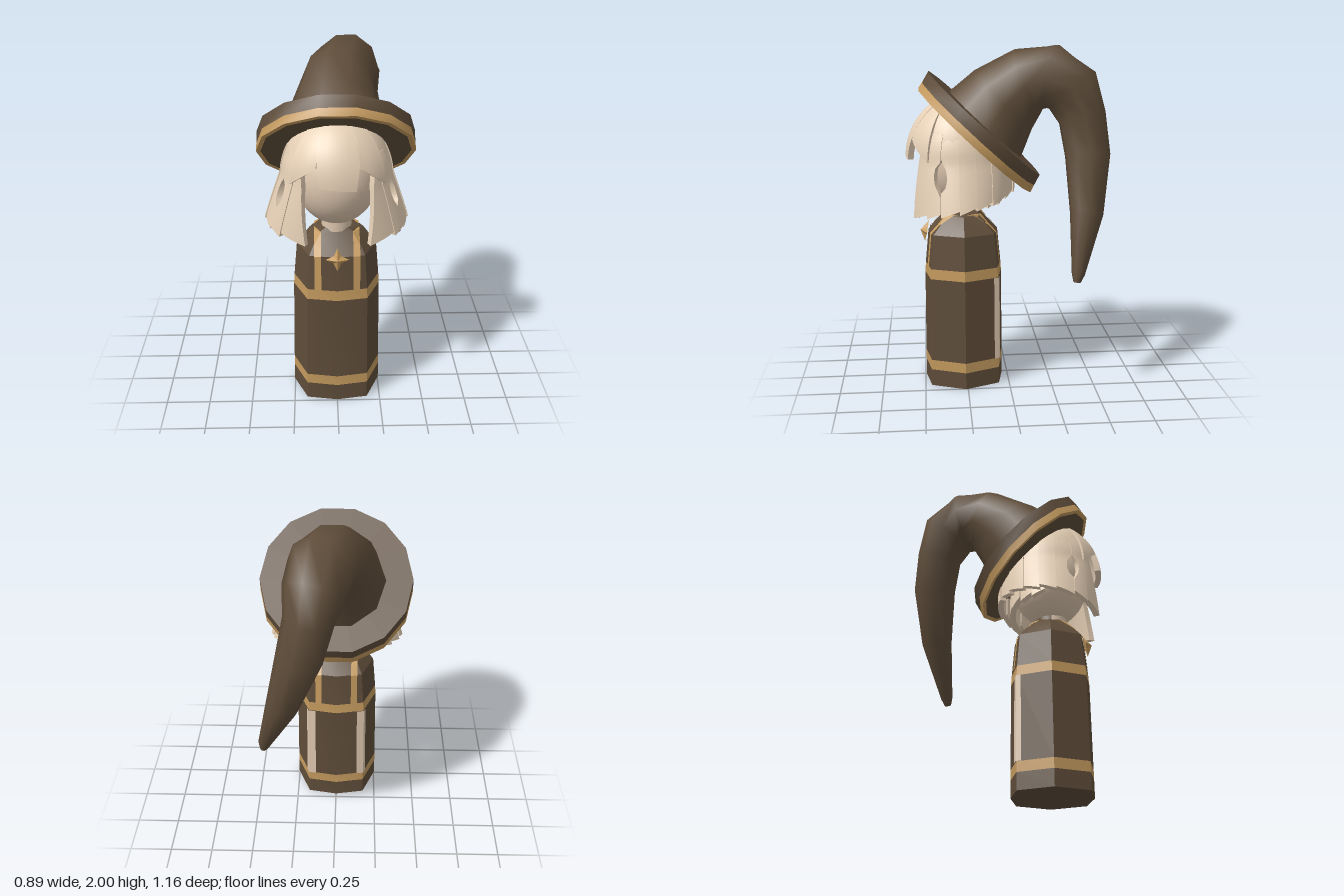
import * as THREE from 'three';
import { toCreasedNormals } from 'three/addons/utils/BufferGeometryUtils.js';

const lerp = THREE.MathUtils.lerp;
const V = (x, y, z) => new THREE.Vector3(x, y, z);

// Skin between rings of points (counter-clockwise seen from the far end)
function loft(rings, crease, capStart = true, capEnd = true) {
  const n = rings[0].length, pos = [], idx = [];
  rings.forEach(r => r.forEach(p => pos.push(p.x, p.y, p.z)));
  for (let i = 0; i < rings.length - 1; i++)
    for (let j = 0; j < n; j++) {
      const a = i * n + j, b = i * n + (j + 1) % n;
      idx.push(a, b, a + n, b, b + n, a + n);
    }
  const last = (rings.length - 1) * n;
  for (let j = 1; j < n - 1; j++) {
    if (capStart) idx.push(0, j + 1, j);
    if (capEnd) idx.push(last, last + j, last + j + 1);
  }
  const g = new THREE.BufferGeometry();
  g.setAttribute('position', new THREE.Float32BufferAttribute(pos, 3));
  g.setIndex(idx);
  return toCreasedNormals(g, crease);
}

// Open strip through pairs of points
function ribbon(pairs) {
  const pos = [];
  for (let i = 0; i < pairs.length - 1; i++) {
    const [a, b] = pairs[i], [c, d] = pairs[i + 1];
    for (const p of [a, b, c, b, d, c]) pos.push(p.x, p.y, p.z);
  }
  const g = new THREE.BufferGeometry();
  g.setAttribute('position', new THREE.Float32BufferAttribute(pos, 3));
  g.computeVertexNormals();
  return g;
}

// Robe section and its width / depth scale by height
const CZ = 0.262;
const SECTION = [[0.255, 0], [0.175, -0.2], [0, -0.232], [-0.175, -0.2], [-0.255, 0], [-0.175, 0.2], [0, 0.232], [0.175, 0.2]];
const PROFILE = [[0, 1, 1], [0.68, 0.97, 0.98], [0.92, 0.89, 0.88], [1.02, 0.6, 0.47], [1.045, 0.38, 0.4]];
function robeScale(y) {
  let i = 0;
  while (i < PROFILE.length - 2 && y > PROFILE[i + 1][0]) i++;
  const a = PROFILE[i], b = PROFILE[i + 1], t = (y - a[0]) / (b[0] - a[0]);
  return [lerp(a[1], b[1], t), lerp(a[2], b[2], t)];
}
const robeRing = y => {
  const [sx, sz] = robeScale(y);
  return SECTION.map(([x, z]) => V(x * sx, y, CZ + z * sz));
};
function robeDepth(x, y) {
  const [sx, sz] = robeScale(y), u = Math.abs(x) / sx;
  return sz * (u < 0.175 ? lerp(0.232, 0.2, u / 0.175) : lerp(0.2, 0, Math.min(1, (u - 0.175) / 0.08)));
}

// Hair surface: dome above, flared skirt below
function hairPoint(deg, y, off) {
  const t = deg * Math.PI / 180, up = Math.max(0, (y - 1.36) / 0.36), down = Math.max(0, 1.36 - y);
  const f = Math.sqrt(Math.max(0, 1 - up * up));
  return V(Math.sin(t) * (0.3 * f + 0.3 * down + off), y, 0.27 + Math.cos(t) * (0.29 * f + off));
}
// One thick lock; hole bows an edge aside to open an oval gap, lean0 / lean1 slant the edges towards the top
function lock(t0, t1, b0, b1, top, { off = 0, hole = 0, lean0 = 0, lean1 = 0 } = {}) {
  const g = new THREE.BoxGeometry(1, 1, 1, 4, 14, 1), p = g.attributes.position;
  for (let i = 0; i < p.count; i++) {
    const u = p.getX(i) + 0.5, v = p.getY(i) + 0.5;
    const y = lerp(lerp(b0, b1, u), top, v), k = (y - 1.285) / 0.08;
    const w = 7 * Math.sqrt(Math.max(0, 1 - k * k));
    let t = lerp(t0 + lean0 * v, t1 + lean1 * v, u);
    if (hole > 0) t += w * (1 - u);
    if (hole < 0) t -= w * u;
    const q = hairPoint(t, y, off - 0.022 * v * v + p.getZ(i) * 0.035);
    p.setXYZ(i, q.x, q.y, q.z);
  }
  g.computeVertexNormals();
  return g;
}

export function createModel() {
  const model = new THREE.Group();
  const mat = (name, color, side = THREE.FrontSide) => {
    const m = new THREE.MeshStandardMaterial({ color, side });
    m.name = name;
    return m;
  };
  const brown = mat('brown cloth', 0x5f4d3a), gold = mat('gold trim', 0xc49a5e, THREE.DoubleSide);
  const hair = mat('pale hair', 0xe6d0b6), skin = mat('skin', 0xdfc8b0, THREE.DoubleSide);
  const add = (name, geo, material, parent = model) => {
    const m = new THREE.Mesh(geo, material);
    m.name = name;
    parent.add(m);
    return m;
  };

  // Robe with two gold bands
  [['robeHem', [0, 0.1], brown], ['hemBand', [0.1, 0.16], gold], ['robeSkirt', [0.16, 0.66], brown],
    ['waistBand', [0.66, 0.72], gold], ['robeTop', [0.72, 0.92, 1.02, 1.045], brown]].forEach(([name, ys, m]) =>
    add(name, loft(ys.map(robeRing), 0.5, name === 'robeHem', name === 'robeTop'), m));

  // Straps over the shoulders and pale strips on the back corners
  const rows = [0.72, 0.82, 0.92, 0.97, 1.02];
  for (const s of [-1, 1]) {
    const row = (y, f) => [0.09, 0.128].map(x => V(s * x, y + (y > 1 ? 0.008 : 0), CZ + f * (robeDepth(x, y) + 0.007)));
    add('shoulderStrap', ribbon([...rows.map(y => row(y, 1)), ...[...rows].reverse().map(y => row(y, -1))]), gold);
    const corner = [[0.13, -0.2085], [0.175, -0.2], [0.186, -0.172]];
    add('backStrip', ribbon(corner.map(([x, z]) => [0.16, 0.66].map(y => {
      const [sx, sz] = robeScale(y);
      return V(s * (x * sx + 0.003), y, CZ + z * sz - 0.004);
    }))), skin);
  }

  // Star brooch
  const star = new THREE.ConeGeometry(0.066, 0.04, 8).toNonIndexed(), sp = star.attributes.position;
  for (let i = 0; i < sp.count; i++) {
    const a = Math.round(Math.atan2(sp.getX(i), sp.getZ(i)) / (Math.PI / 4));
    if (a % 2) sp.setXYZ(i, sp.getX(i) * 0.45, sp.getY(i), sp.getZ(i) * 0.45);
  }
  star.rotateX(Math.PI / 2);
  star.computeVertexNormals();
  const brooch = add('starBrooch', star, gold);
  brooch.position.set(0, 0.915, 0.494);
  brooch.rotation.x = -0.2;

  // Neck, collar and face
  add('neck', new THREE.CylinderGeometry(0.085, 0.085, 0.16, 16), skin).position.set(0, 1.1, 0.28);
  add('collar', new THREE.CylinderGeometry(0.09, 0.1, 0.05, 12, 1, false, Math.PI / 2, Math.PI), brown).position.set(0, 1.05, 0.275);
  const face = add('face', new THREE.SphereGeometry(1, 32, 24), skin);
  face.scale.set(0.235, 0.27, 0.23);
  face.position.set(0, 1.33, 0.27);

  // Hair: crown, fringe, side locks and two rows at the back
  const hairGroup = new THREE.Group();
  hairGroup.name = 'hair';
  model.add(hairGroup);
  const crown = add('crown', new THREE.SphereGeometry(1, 32, 12, 0, Math.PI * 2, 0, 1.29), hair, hairGroup);
  crown.scale.set(0.3, 0.36, 0.29);
  crown.position.set(0, 1.36, 0.27);
  add('fringe', lock(-17, 17, 1.375, 1.355, 1.7, { off: 0.012, lean0: -12, lean1: 12 }), hair, hairGroup);
  add('fringe', lock(22, 52, 1.475, 1.36, 1.68, { off: 0.008 }), hair, hairGroup);
  add('fringe', lock(-52, -22, 1.36, 1.475, 1.68, { off: 0.008 }), hair, hairGroup);
  const edges = [25, 50, 66, 86, 104, 122, 142, 161, 180];
  const bottom = t => lerp(1.03, 1.16, Math.min(1, (t - 25) / 130));
  for (let i = 0; i < edges.length - 1; i++) {
    const a = edges[i], b = edges[i + 1], off = i % 2 ? 0.006 : 0;
    const b0 = bottom(a), b1 = bottom(b) + 0.02;
    const hole = b === 66 ? -1 : a === 66 ? 1 : 0, lean = i ? 0 : 20;
    add('hairLock', lock(a, b, b0, b1, 1.52, { off, hole, lean0: lean }), hair, hairGroup);
    add('hairLock', lock(-b, -a, b1, b0, 1.52, { off, hole: -hole, lean1: -lean }), hair, hairGroup);
    if (a > 90) for (const [l, r] of [[a, b], [-b, -a]])
      add('innerLock', lock(l + 4, r + 4, 1.1, 1.13, 1.4, { off: -0.06 - off }), hair, hairGroup);
  }

  // Tilted brim, slightly sheared forward, with gold lower edge
  const brim = new THREE.Group();
  brim.name = 'hatBrim';
  brim.position.set(0, 1.487, 0.156);
  brim.rotation.x = -0.75;
  model.add(brim);
  const disc = (name, material, y, h, open, r0, r1) => {
    const g = new THREE.CylinderGeometry(r0, r1, h, 14, 1, open, Math.PI / 14), p = g.attributes.position;
    for (let i = 0; i < p.count; i++) p.setXYZ(i, p.getX(i), p.getY(i) + y, p.getZ(i) + 0.24 * (p.getY(i) + y + 0.04));
    add(name, toCreasedNormals(g, 0.6), material, brim);
  };
  disc('brimTop', brown, 0.0285, 0.067, false, 0.442, 0.444);
  disc('brimBand', gold, -0.0275, 0.045, true, 0.444, 0.447);
  disc('brimLip', gold, -0.0505, 0.001, true, 0.447, 0.422);
  disc('brimUnderside', brown, -0.028, 0.042, false, 0.43, 0.423);

  // Bent hat cone: x, y, z, radius along its spine
  const spine = [[0, 1.53, 0.135, 0.29], [0, 1.685, 0.02, 0.24], [0.02, 1.79, -0.12, 0.2], [0.07, 1.815, -0.25, 0.192],
    [0.105, 1.74, -0.365, 0.172], [0.135, 1.59, -0.42, 0.138], [0.185, 1.38, -0.447, 0.13],
    [0.285, 1.06, -0.43, 0.095], [0.405, 0.74, -0.368, 0.037], [0.414, 0.695, -0.36, 0.02]];
  const pts = spine.map(([x, y, z]) => V(x, y, z));
  const rings = pts.map((p, i) => {
    const t = i === 0 ? V(0, 0.73, -0.68)
      : pts[Math.min(i + 1, pts.length - 1)].clone().sub(pts[i - 1]).normalize();
    const n = t.clone().cross(V(1, 0, 0)).normalize(), b = n.clone().cross(t);
    return Array.from({ length: 10 }, (_, j) => {
      const a = (j / 10) * Math.PI * 2, r = spine[i][3];
      return p.clone().addScaledVector(b, r * Math.cos(a)).addScaledVector(n, r * Math.sin(a));
    });
  });
  add('hatCone', loft(rings, 1.2), brown);
  return model;
}
